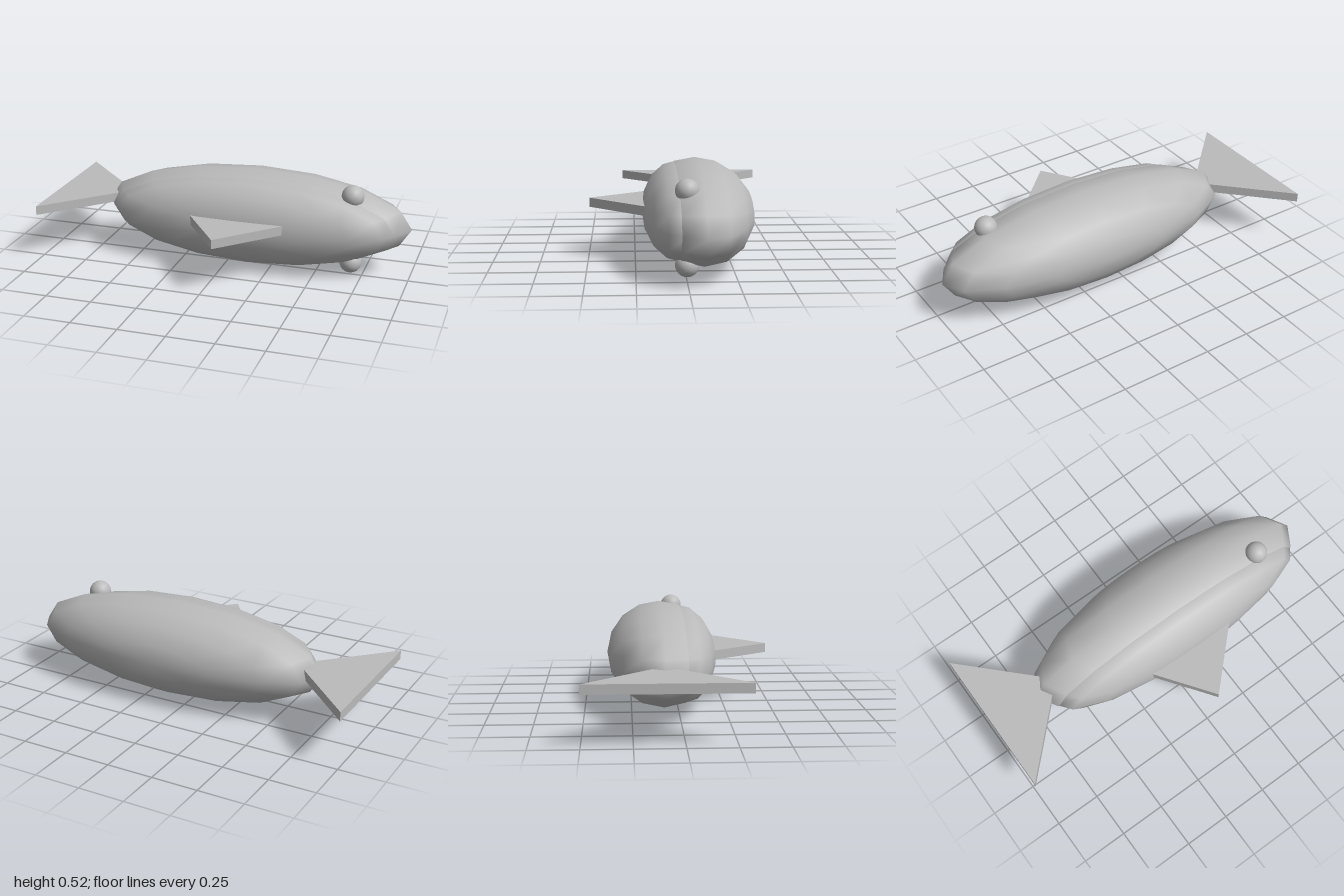
import * as THREE from 'three';

export function createModel() {
  const group = new THREE.Group();
  const grey = new THREE.MeshStandardMaterial({ color: 0xbbbbbb });
  grey.name = 'plain grey';
  const midY = 0.26;

  const add = (name, geometry) => {
    const mesh = new THREE.Mesh(geometry, grey);
    mesh.name = name;
    group.add(mesh);
  };

  // Coarse smooth ellipsoid with its poles along z
  const ellipsoid = (rx, ry, rz, x, y, z, across = 16, rings = 8) =>
    new THREE.SphereGeometry(1, across, rings)
      .rotateX(Math.PI / 2)
      .scale(rx, ry, rz)
      .translate(x, y, z);

  // Flat triangular fin from [x, z] corners, lying level with a thickness in y
  const fin = (corners) => {
    const shape = new THREE.Shape(corners.map(([x, z]) => new THREE.Vector2(x, -z)));
    return new THREE.ExtrudeGeometry(shape, { depth: 0.05, bevelEnabled: false })
      .rotateX(-Math.PI / 2)
      .translate(0, midY + 0.003, 0);
  };

  // Body: a large ellipsoid overlapped by a smaller belly
  add('body', ellipsoid(0.86, 0.258, 0.295, 0.135, midY, -0.085));
  add('belly', ellipsoid(0.8, 0.24, 0.2, 0.135, midY, 0.015));

  // Fins
  add('tailFin', fin([[-1, -0.5], [-1, 0.32], [-0.59, -0.09]]));
  add('sideFin', fin([[0.065, 0.495], [0.37, 0.19], [-0.157, 0.19]]));

  // Eyes, one on each flank
  for (const [name, side] of [['upperEye', 1], ['lowerEye', -1]]) {
    add(name, ellipsoid(0.06, 0.06, 0.06, 0.687, midY + side * 0.185, -0.002, 24, 16));
  }

  return group;
}
